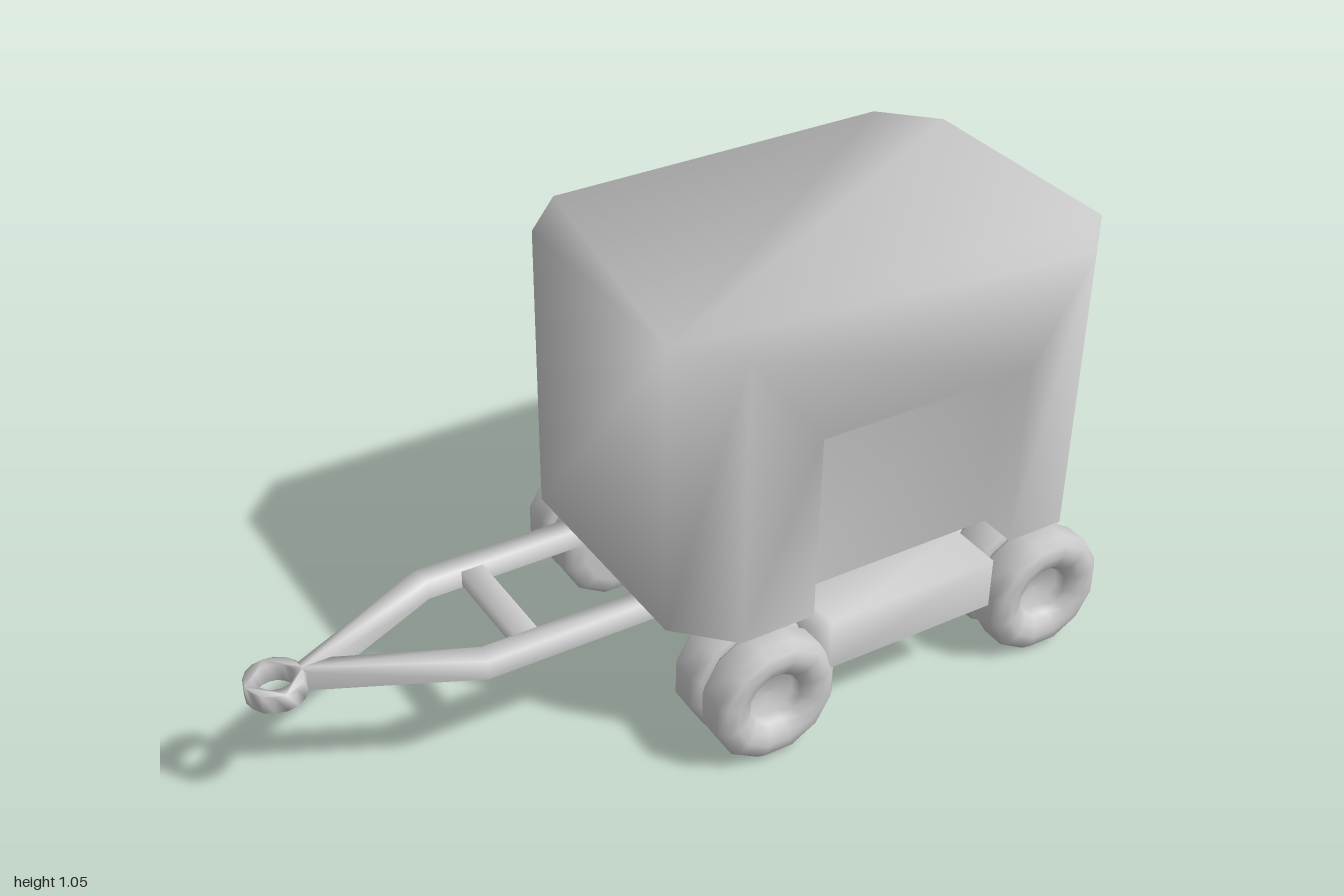
import * as THREE from 'three';
import { mergeVertices } from 'three/addons/utils/BufferGeometryUtils.js';

const material = new THREE.MeshStandardMaterial({ color: 0xcccccc });
const shellMaterial = new THREE.MeshStandardMaterial({ color: 0xcccccc, side: THREE.DoubleSide });

function add(parent, name, geometry, mat, x = 0, y = 0, z = 0) {
  const mesh = new THREE.Mesh(geometry, mat);
  mesh.name = name;
  mesh.position.set(x, y, z);
  parent.add(mesh);
  return mesh;
}

// Welds the corners so shading runs smoothly across every edge, and leaves
// out the faces lying in the given planes, e.g. { y: 0.28 }
function smooth(geometry, openSides = {}) {
  geometry.deleteAttribute('normal');
  geometry.deleteAttribute('uv');
  geometry.clearGroups();
  const g = mergeVertices(geometry, 1e-4);
  const p = g.attributes.position, old = g.index.array, kept = [];
  const at = { x: (i) => p.getX(i), y: (i) => p.getY(i), z: (i) => p.getZ(i) };
  for (let i = 0; i < old.length; i += 3) {
    const tri = [old[i], old[i + 1], old[i + 2]];
    const open = Object.entries(openSides).some(([axis, v]) =>
      tri.every((c) => Math.abs(at[axis](c) - v) < 1e-4));
    if (!open) kept.push(...tri);
  }
  g.setIndex(kept);
  g.computeVertexNormals();
  return g;
}

// Extrudes a plan outline of [x, z] points downwards from yTop
function plate(shape, yTop, height) {
  const g = new THREE.ExtrudeGeometry(shape, { depth: height, bevelEnabled: false, curveSegments: 8 });
  return g.rotateX(Math.PI / 2).translate(0, yTop, 0);
}

// Smooth-shaded cabin shell, open below, with a shallow recess in the front and back
function bodyGeometry() {
  const y0 = 0.33, y1 = 1.053, yOpen = 0.8, zFace = 0.413, zIn = 0.32;
  const plan = [[-0.13, 0.29], [-0.01, zFace], [0.88, zFace], [1, 0.29],
    [1, -0.29], [0.88, -zFace], [-0.01, -zFace], [-0.13, -0.29]];
  const pos = [], index = [];
  const vertex = (x, y, z) => pos.push(x, y, z) / 3 - 1;
  const face = (...p) => {
    for (let i = 1; i < p.length - 1; i++) index.push(p[0], p[i], p[i + 1]);
  };
  const bottom = plan.map(([x, z]) => vertex(x, y0, z));
  const top = plan.map(([x, z]) => vertex(x, y1, z));

  plan.forEach((_, i) => {
    const j = (i + 1) % 8;
    const b0 = bottom[i], b1 = bottom[j], t0 = top[i], t1 = top[j];
    if (i !== 1 && i !== 5) return face(b0, b1, t1, t0);
    // Frame around the opening, then its jambs, ceiling and back wall;
    // the back opening is the front one turned half round
    const s = i === 1 ? 1 : -1;
    const [l, r] = s > 0 ? [0.18, 0.73] : [0.69, 0.14];
    const ring = (z) => [vertex(l, y0, z), vertex(l, yOpen, z), vertex(r, yOpen, z), vertex(r, y0, z)];
    const o = ring(s * zFace), n = ring(s * zIn);
    face(b0, o[0], o[1], t0);
    face(t0, o[1], o[2], t1);
    face(o[3], b1, t1, o[2]);
    for (let k = 0; k < 3; k++) face(o[k], n[k], n[k + 1], o[k + 1]);
    face(n[0], n[3], n[2], n[1]);
  });
  face(...top);

  const g = new THREE.BufferGeometry();
  g.setAttribute('position', new THREE.Float32BufferAttribute(pos, 3));
  g.setIndex(index);
  g.computeVertexNormals();
  return g;
}

// Tyre and hub in one turned profile, hollow on the outer side
function wheelGeometry() {
  const profile = [[0, -0.055], [0.11, -0.055], [0.142, -0.05], [0.16, -0.03], [0.16, 0.03],
    [0.142, 0.05], [0.115, 0.055], [0.088, 0.048], [0.068, 0.03], [0.063, 0.005], [0, 0]];
  const g = new THREE.LatheGeometry(profile.map(([r, y]) => new THREE.Vector2(r, y)), 12);
  return g.rotateY(Math.PI / 12).rotateX(Math.PI / 2);
}

export function createModel() {
  const model = new THREE.Group();
  model.name = 'towedCart';
  add(model, 'body', bodyGeometry(), shellMaterial);

  const wheel = wheelGeometry();
  const skirt = smooth(new THREE.BoxGeometry(0.45, 0.13, 0.135), { y: -0.065, z: -0.0675 });
  for (const s of [1, -1]) {
    const side = s > 0 ? 'front' : 'back';
    const turn = s > 0 ? 0 : Math.PI;

    // Side skirt between the wheels, open below and inside
    add(model, side + 'Skirt', skirt, shellMaterial, 0.425, 0.265, s * 0.3875).rotation.y = turn;

    // Twin wheels
    for (const x of [0.067, 0.83]) {
      for (const [name, z] of [['OuterWheel', 0.41], ['InnerWheel', 0.295]]) {
        add(model, side + name, wheel, material, x, 0.157, s * z).rotation.y = turn;
      }
    }

    // Bent drawbar arm, a channel open below and at its end
    const arm = [[0, 0.187], [-0.515, 0.187], [-0.87, 0.02], [-0.87, 0],
      [-0.8, 0], [-0.505, 0.135], [0, 0.135]];
    const outline = new THREE.Shape(arm.map(([x, z]) => new THREE.Vector2(x, s * z)));
    add(model, side + 'DrawbarArm', smooth(plate(outline, 0.33, 0.05), { x: 0, y: 0.28 }), shellMaterial);
  }

  const crossbar = smooth(new THREE.BoxGeometry(0.055, 0.04, 0.28), { y: -0.02 });
  add(model, 'drawbarCrossbar', crossbar, shellMaterial, -0.393, 0.305, 0);

  // Towing eye
  const eye = new THREE.Shape().absarc(-0.932, 0, 0.068, 0, Math.PI * 2);
  eye.holes.push(new THREE.Path().absarc(-0.932, 0, 0.043, 0, Math.PI * 2, true));
  add(model, 'towingEye', smooth(plate(eye, 0.33, 0.045)), material);

  return model;
}
